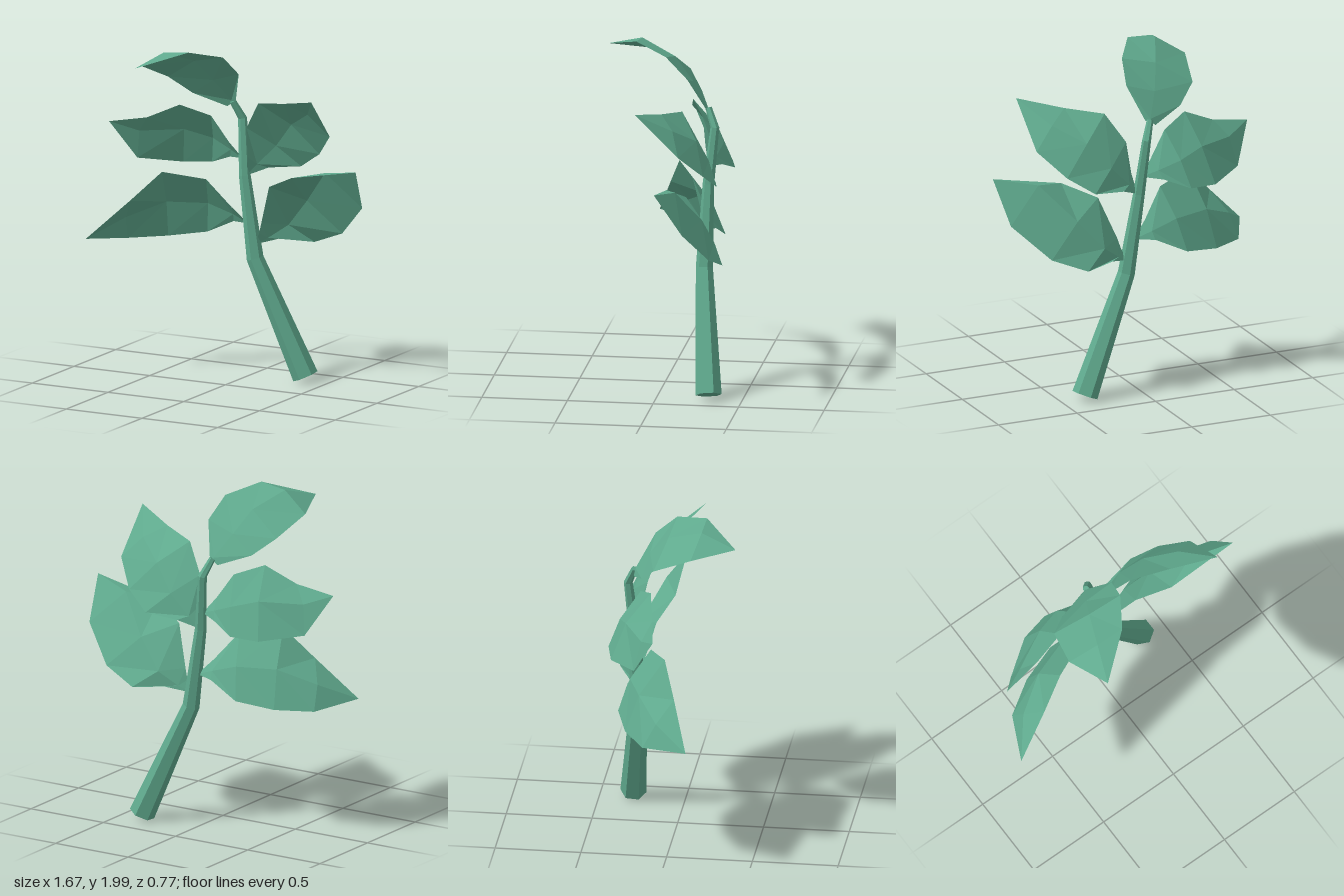
import * as THREE from 'three';

const leafGreen = new THREE.MeshStandardMaterial({ color: 0x5fa98d, side: THREE.DoubleSide });
leafGreen.name = 'leaf green';

// Faceted mesh from a list of triangles, each made of three Vector3 corners
function facetMesh(name, triangles) {
  const geometry = new THREE.BufferGeometry().setFromPoints(triangles.flat());
  geometry.computeVertexNormals();
  const mesh = new THREE.Mesh(geometry, leafGreen);
  mesh.name = name;
  return mesh;
}

const vec = (p) => new THREE.Vector3(...p);

// Six-sided stem: rings set square to a bent path, tapering upwards
function makeStem() {
  const sides = 6;
  const radii = [0.076, 0.05, 0.034, 0.026, 0.019];
  const path = [[0.36, 0.038, -0.305], [0.065, 0.72, -0.237], [-0.01, 1.2, -0.25],
    [-0.043, 1.53, -0.283], [-0.085, 1.635, -0.24]].map(vec);
  const rings = path.map((p, i) => {
    const before = path[Math.max(i - 1, 0)], after = path[Math.min(i + 1, path.length - 1)];
    const t = after.clone().sub(before).normalize();
    const u = new THREE.Vector3(0, 0, 1).projectOnPlane(t).normalize();
    const v = t.clone().cross(u);
    return Array.from({ length: sides }, (_, j) => {
      const a = (j / sides) * Math.PI * 2;
      return p.clone().addScaledVector(u, radii[i] * Math.cos(a)).addScaledVector(v, radii[i] * Math.sin(a));
    });
  });
  const triangles = [];
  const last = rings.length - 1;
  for (let j = 0; j < sides; j++) {
    const k = (j + 1) % sides;
    for (let i = 0; i < last; i++) {
      const a = rings[i], b = rings[i + 1];
      triangles.push([a[j], a[k], b[k]], [a[j], b[k], b[j]]);
    }
    triangles.push([path[0], rings[0][k], rings[0][j]], [path[last], rings[last][j], rings[last][k]]);
  }
  return facetMesh('stem', triangles);
}

// Leaf: cross-sections (edge, midrib, edge) between a base point and a tip
function makeLeaf(name, base, sections, tip) {
  const rows = sections.map((row) => row.map(vec));
  const [first, end] = [rows[0], rows[rows.length - 1]];
  const b = vec(base), t = vec(tip);
  const triangles = [];
  for (let j = 0; j < 2; j++) {
    triangles.push([b, first[j], first[j + 1]], [end[j + 1], end[j], t]);
    for (let i = 0; i < rows.length - 1; i++) {
      const p = rows[i], q = rows[i + 1];
      // Split each panel so the diagonals mirror across the midrib
      if (j === 0) triangles.push([p[0], q[0], p[1]], [q[0], q[1], p[1]]);
      else triangles.push([p[1], q[1], q[2]], [p[1], q[2], p[2]]);
    }
  }
  return facetMesh(name, triangles);
}

export function createModel() {
  const plant = new THREE.Group();
  plant.name = 'leafySprig';
  plant.add(
    makeStem(),
    makeLeaf('topLeaf', [-0.085, 1.625, -0.24], [
      [[-0.12, 1.6, -0.24], [-0.09, 1.64, -0.235], [-0.06, 1.63, -0.23]],
      [[-0.31, 1.672, -0.17], [-0.16, 1.77, -0.14], [0.016, 1.825, -0.13]],
      [[-0.426, 1.772, -0.087], [-0.22, 1.9, -0.025], [-0.016, 1.947, 0]],
      [[-0.48, 1.873, 0.136], [-0.31, 1.98, 0.18], [-0.14, 2, 0.19]],
    ], [-0.387, 1.917, 0.387]),
    makeLeaf('upperLeftLeaf', [0, 1.2, -0.25], [
      [[0.115, 1.248, -0.31], [0.06, 1.27, -0.27], [0.025, 1.317, -0.22]],
      [[0.31, 1.27, -0.345], [0.18, 1.39, -0.28], [0.04, 1.5, -0.18]],
      [[0.463, 1.37, -0.285], [0.31, 1.54, -0.225], [0.15, 1.67, -0.12]],
      [[0.6, 1.513, -0.16], [0.48, 1.64, -0.11], [0.365, 1.708, -0.03]],
    ], [0.616, 1.767, 0.09]),
    makeLeaf('lowerLeftLeaf', [0.06, 0.8, -0.24], [
      [[0.19, 0.835, -0.32], [0.13, 0.84, -0.275], [0.095, 0.87, -0.23]],
      [[0.375, 0.82, -0.387], [0.24, 0.92, -0.32], [0.115, 0.935, -0.22]],
      [[0.585, 0.903, -0.337], [0.39, 1.09, -0.27], [0.205, 1.174, -0.15]],
      [[0.787, 1.1, -0.21], [0.58, 1.3, -0.14], [0.4, 1.265, -0.065]],
    ], [0.83, 1.347, -0.053]),
    makeLeaf('upperRightLeaf', [-0.025, 1.3, -0.25], [
      [[-0.14, 1.285, -0.31], [-0.12, 1.335, -0.28], [-0.1, 1.396, -0.22]],
      [[-0.29, 1.227, -0.366], [-0.25, 1.385, -0.305], [-0.2, 1.545, -0.19]],
      [[-0.46, 1.216, -0.33], [-0.41, 1.43, -0.25], [-0.363, 1.608, -0.11]],
      [[-0.675, 1.248, -0.17], [-0.64, 1.42, -0.13], [-0.56, 1.518, -0.075]],
    ], [-0.793, 1.476, -0.045]),
    makeLeaf('lowerRightLeaf', [0.02, 0.92, -0.24], [
      [[-0.1, 0.913, -0.28], [-0.09, 0.96, -0.255], [-0.07, 1.015, -0.2]],
      [[-0.29, 0.824, -0.31], [-0.25, 1.01, -0.245], [-0.2, 1.18, -0.13]],
      [[-0.51, 0.79, -0.24], [-0.48, 1.01, -0.165], [-0.43, 1.22, -0.02]],
      [[-0.706, 0.78, -0.115], [-0.68, 0.92, -0.04], [-0.6, 1.045, 0.056]],
    ], [-0.837, 0.813, 0.154]),
  );
  return plant;
}
